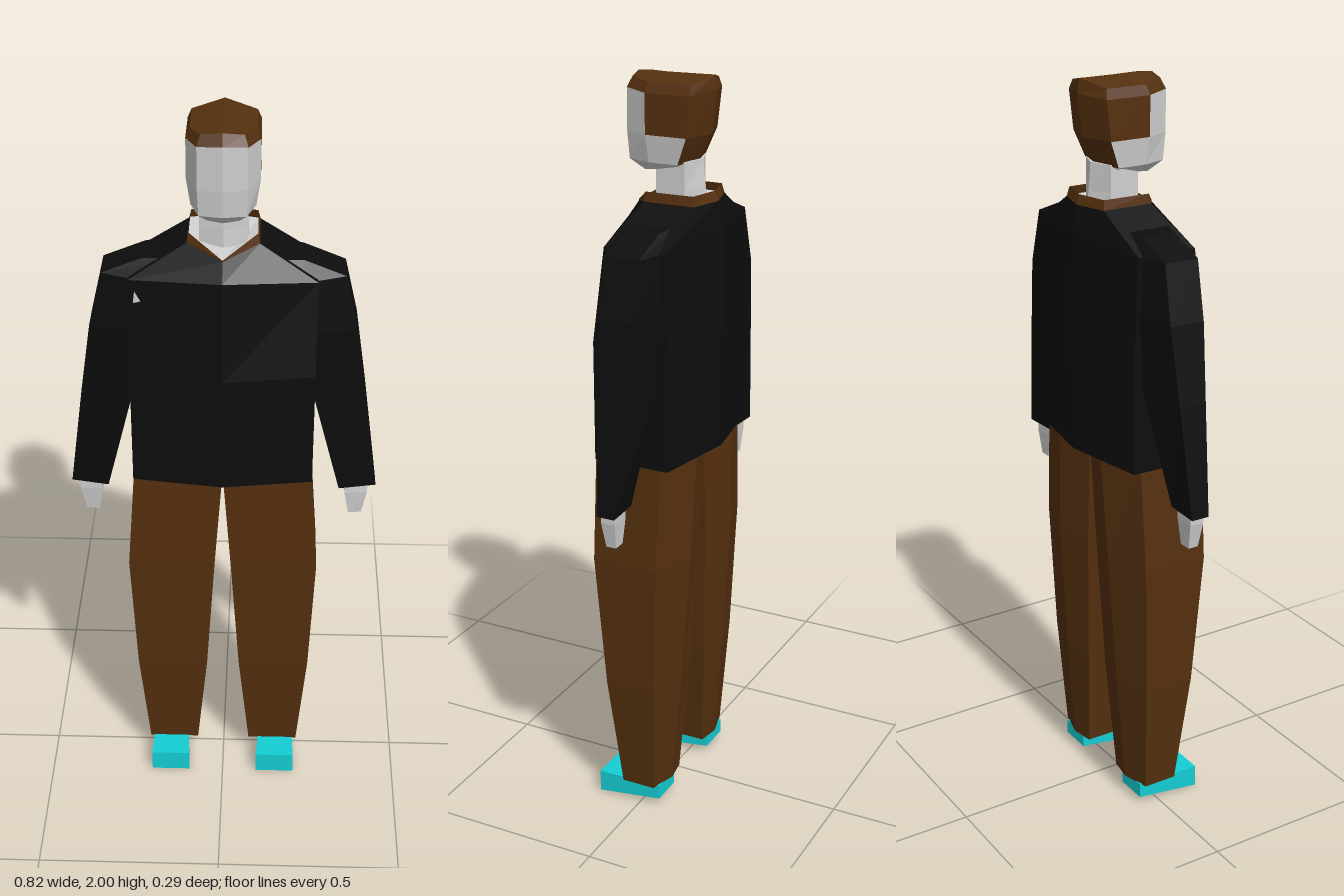
import * as THREE from 'three';

const mat = (name, color, side = THREE.FrontSide) =>
  Object.assign(new THREE.MeshStandardMaterial({ color, side }), { name });

// Faceted loft through rings that run front, +x, back, -x. pick(i, j) chooses the material of each face.
function loft(name, rings, mats, { pick = () => 0, caps = true } = {}) {
  const list = [].concat(mats);
  const buckets = list.map(() => []);
  const n = rings[0].length, last = rings.length - 1;
  const tri = (m, a, b, c) => buckets[m].push(...a, ...b, ...c);
  for (let i = 0; i < last; i++) {
    for (let j = 0; j < n; j++) {
      const k = (j + 1) % n, m = pick(i, j);
      tri(m, rings[i][j], rings[i][k], rings[i + 1][k]);
      tri(m, rings[i][j], rings[i + 1][k], rings[i + 1][j]);
    }
  }
  if (caps) {
    for (let j = 1; j < n - 1; j++) {
      tri(pick(-1, j), rings[0][0], rings[0][j + 1], rings[0][j]);
      tri(pick(last, j), rings[last][0], rings[last][j], rings[last][j + 1]);
    }
  }
  const geo = new THREE.BufferGeometry();
  geo.setAttribute('position', new THREE.Float32BufferAttribute(buckets.flat(), 3));
  let start = 0;
  buckets.forEach((b, m) => {
    geo.addGroup(start, b.length / 3, m);
    start += b.length / 3;
  });
  geo.computeVertexNormals();
  const mesh = new THREE.Mesh(geo, list.length > 1 ? list : list[0]);
  mesh.name = name;
  return mesh;
}

// Completes a half ring (front centre to back centre) on the -x side
const full = (half) => [...half, ...half.slice(1, -1).reverse().map(([x, y, z]) => [-x, y, z])];
// Ring from [x, z] pairs at one height
const at = (y, pts) => pts.map(([x, z]) => [x, y, z]);
// Puts rings of a left part on side s
const onSide = (s, rings) => (s > 0 ? rings : rings.map((r) => r.map(([x, y, z]) => [-x, y, z]).reverse()));

export function createModel() {
  const model = new THREE.Group();
  model.name = 'standingFigure';
  const black = mat('sweaterBlack', 0x0d0d0d);
  const brown = mat('brown', 0x55300f, THREE.DoubleSide);
  const skin = mat('paleGrey', 0xd0d0d0, THREE.DoubleSide);
  const cyan = mat('shoeCyan', 0x14ced4);
  const sole = mat('soleGrey', 0x808080);

  // Sweater body
  const neckline = full([[0, 1.665, 0.1], [0.09, 1.687, 0.04], [0.09, 1.687, -0.1], [0, 1.687, -0.125]]);
  model.add(loft('sweaterBody', [
    full(at(1.03, [[0, 0.143], [0.235, 0.11], [0.235, -0.1], [0, -0.14]])),
    full(at(1.35, [[0, 0.145], [0.235, 0.11], [0.235, -0.1], [0, -0.145]])),
    full([[0, 1.62, 0.132], [0.235, 1.6, 0.075], [0.235, 1.6, -0.09], [0, 1.62, -0.138]]),
    neckline,
  ], black));

  // Small chest mark
  const mark = new THREE.Mesh(new THREE.ShapeGeometry(new THREE.Shape([
    new THREE.Vector2(-0.222, 1.545), new THREE.Vector2(-0.203, 1.55), new THREE.Vector2(-0.218, 1.578),
  ])), skin);
  mark.name = 'chestMark';
  mark.position.z = 0.092;
  model.add(mark);

  // Open neck and collar
  const lift = (ring, dy) => ring.map(([x, y, z]) => [x * 0.97, y + dy, z * 0.97]);
  model.add(loft('neckOpening', [lift(neckline, -0.004), lift(neckline, 0.003)], skin));
  model.add(loft('collar', [
    neckline,
    full([[0, 1.669, 0.1], [0.086, 1.712, 0.035], [0.084, 1.712, -0.095], [0, 1.712, -0.115]]),
  ], brown, { caps: false }));
  model.add(loft('neck', [1.66, 1.72, 1.79].map((y, i) =>
    full(at(y, [[0, 0.04 - i * 0.004], [0.06, 0.02], [0.06, -0.06], [0, -0.095 + i * 0.006]]))), skin));

  // Head, with the hair on its upper, rear and side faces
  const hairAt = (i, j) => {
    const k = j < 4 ? j : 7 - j;
    return i >= 3 || (k === 2 && i === 2) || (k === 3 && i >= 1) ? 1 : 0;
  };
  model.add(loft('headAndHair', [
    full([[0, 1.752, 0.065], [0.04, 1.757, 0.06], [0.06, 1.765, 0.02], [0.055, 1.775, -0.04], [0, 1.778, -0.06]]),
    full(at(1.785, [[0, 0.105], [0.058, 0.095], [0.08, 0.03], [0.08, -0.05], [0, -0.072]])),
    full(at(1.855, [[0, 0.111], [0.061, 0.1], [0.09, 0.035], [0.09, -0.078], [0, -0.106]])),
    full([[0, 1.968, 0.112], [0.061, 1.963, 0.1], [0.09, 1.958, 0.035], [0.09, 1.958, -0.09], [0, 1.963, -0.12]]),
    full([[0, 1.997, 0.098], [0.052, 1.99, 0.088], [0.08, 1.983, 0.03], [0.08, 1.983, -0.085], [0, 2, -0.113]]),
  ], [skin, brown], { pick: hairAt }));

  for (const s of [1, -1]) {
    const side = s > 0 ? 'left' : 'right';
    const add = (name, rings, mats, opts) => model.add(loft(side + name, onSide(s, rings), mats, opts));

    // Sleeve and hand
    add('Sleeve', [
      at(0.955, [[0.31, 0.03], [0.41, 0.01], [0.41, -0.04], [0.31, -0.035]]),
      at(1.25, [[0.237, 0.06], [0.37, 0.022], [0.37, -0.055], [0.237, -0.075]]),
      at(1.45, [[0.215, 0.08], [0.34, 0.032], [0.34, -0.065], [0.215, -0.09]]),
      at(1.598, [[0.2, 0.075], [0.306, 0.035], [0.306, -0.06], [0.2, -0.088]]),
      [[0.11, 1.65, 0.055], [0.2, 1.641, 0.035], [0.2, 1.641, -0.06], [0.11, 1.65, -0.08]],
    ], black);
    add('Hand', [
      at(0.86, [[0.34, 0.008], [0.375, 0.003], [0.375, -0.025], [0.34, -0.025]]),
      at(0.93, [[0.327, 0.016], [0.388, 0.01], [0.388, -0.03], [0.327, -0.028]]),
      at(0.97, [[0.327, 0.016], [0.388, 0.008], [0.388, -0.03], [0.327, -0.028]]),
    ], skin);

    // Trouser leg, with a ridge down the back
    add('TrouserLeg', [
      [0.06, 0.075, 0.215, 0.05, -0.045, -0.065],
      [0.38, 0.045, 0.241, 0.083, -0.062, -0.09],
      [0.75, 0.022, 0.255, 0.108, -0.075, -0.113],
      [1.05, 0, 0.233, 0.108, -0.08, -0.122],
    ].map(([y, xi, xo, zf, zc, zb]) =>
      at(y, [[xi, zf], [xo, zf], [xo, zc], [xi * 0.55 + xo * 0.45, zb], [xi, zc - 0.01]])), brown);

    // Shoe with a grey underside
    add('Shoe', [
      [[0.098, 0, 0.128], [0.207, 0, 0.128], [0.2, 0.02, -0.055], [0.108, 0.02, -0.055]],
      at(0.062, [[0.098, 0.128], [0.207, 0.128], [0.2, -0.055], [0.108, -0.055]]),
    ], [cyan, sole], { pick: (i) => (i < 0 ? 1 : 0) });
  }
  return model;
}
